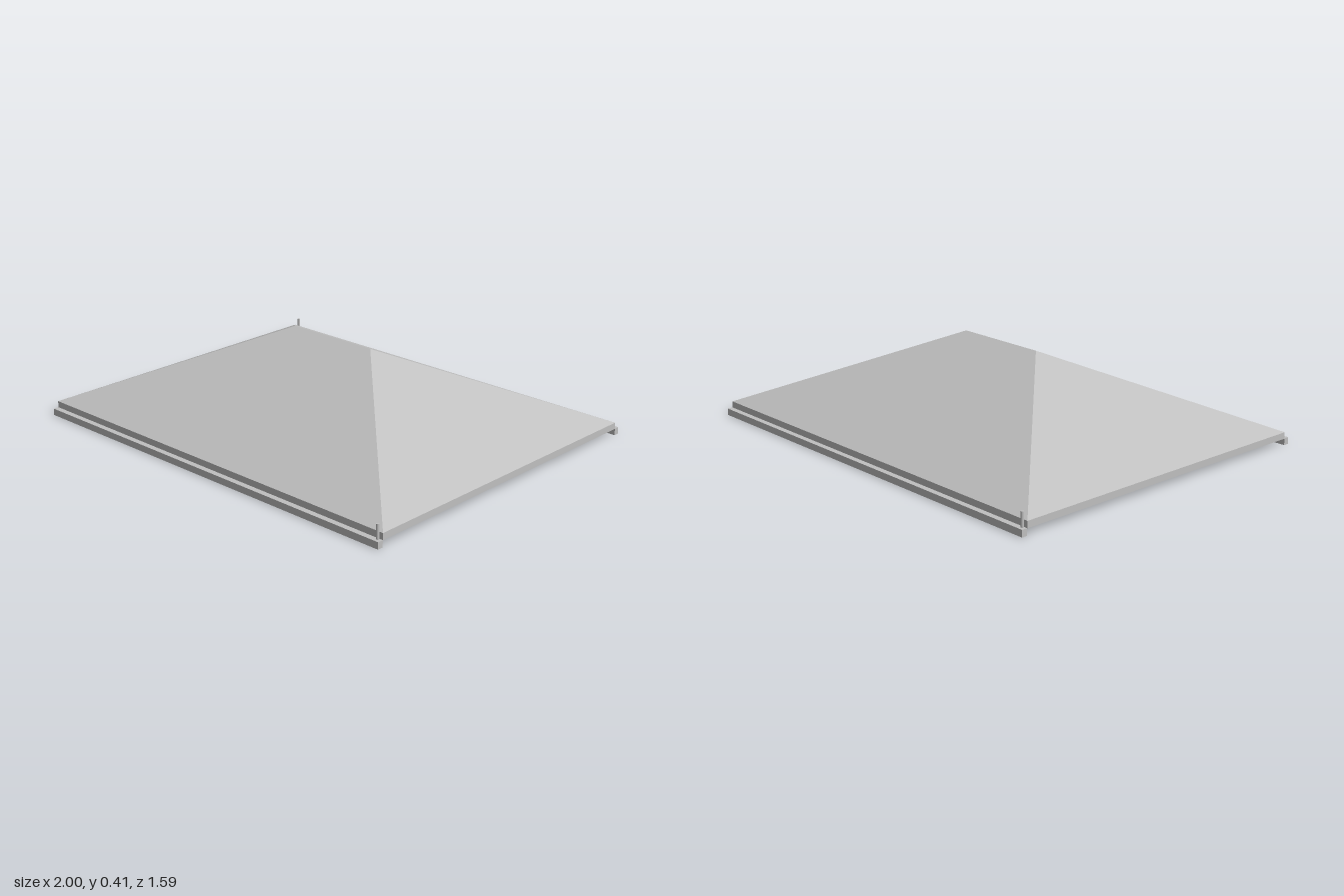
import * as THREE from 'three';

const HALF_X = 1, HALF_Z = 0.77, RIDGE = 0.23;
const EAVE_Y = 0.06, RIDGE_Y = 0.415, THICK = 0.03;

// Hipped roof sheet of constant vertical thickness, hollow beneath
function roofGeometry() {
  const layer = (dy) => [
    [-HALF_X, EAVE_Y - dy, HALF_Z], [HALF_X, EAVE_Y - dy, HALF_Z],
    [HALF_X, EAVE_Y - dy, -HALF_Z], [-HALF_X, EAVE_Y - dy, -HALF_Z],
    [-RIDGE, RIDGE_Y - dy, 0], [RIDGE, RIDGE_Y - dy, 0],
  ];
  const points = [...layer(0), ...layer(THICK)];
  const slopes = [[0, 1, 5], [0, 5, 4], [1, 2, 5], [2, 3, 4], [2, 4, 5], [3, 0, 4]];
  const faces = [];
  for (const [a, b, c] of slopes) faces.push([a, b, c], [a + 6, c + 6, b + 6]);
  // eave edges
  for (let i = 0; i < 4; i++) {
    const j = (i + 1) % 4;
    faces.push([i + 6, j + 6, j], [i + 6, j, i]);
  }
  const geometry = new THREE.BufferGeometry();
  geometry.setAttribute('position',
    new THREE.Float32BufferAttribute(faces.flat().flatMap((i) => points[i]), 3));
  geometry.computeVertexNormals();
  return geometry;
}

export function createModel() {
  const model = new THREE.Group();
  model.name = 'hippedRoof';
  const grey = new THREE.MeshStandardMaterial({ color: 0xc0c0c0 });
  grey.name = 'light grey';

  const add = (geometry, name, x, y, z) => {
    const mesh = new THREE.Mesh(geometry, grey);
    mesh.name = name;
    mesh.position.set(x, y, z);
    model.add(mesh);
  };

  add(roofGeometry(), 'roof', 0, 0, 0);

  // Gutters on the long eaves, each with a thin upright pipe at one end
  const gutter = new THREE.BoxGeometry(2, 0.031, 0.026);
  const pipe = new THREE.CylinderGeometry(0.0065, 0.0065, 0.066, 12);
  for (const side of [1, -1]) {
    const label = side > 0 ? 'front' : 'back';
    add(gutter, label + 'Gutter', 0, 0.0155, side * 0.784);
    add(pipe, label + 'Pipe', side * 0.98, 0.063, side * 0.778);
  }
  return model;
}
